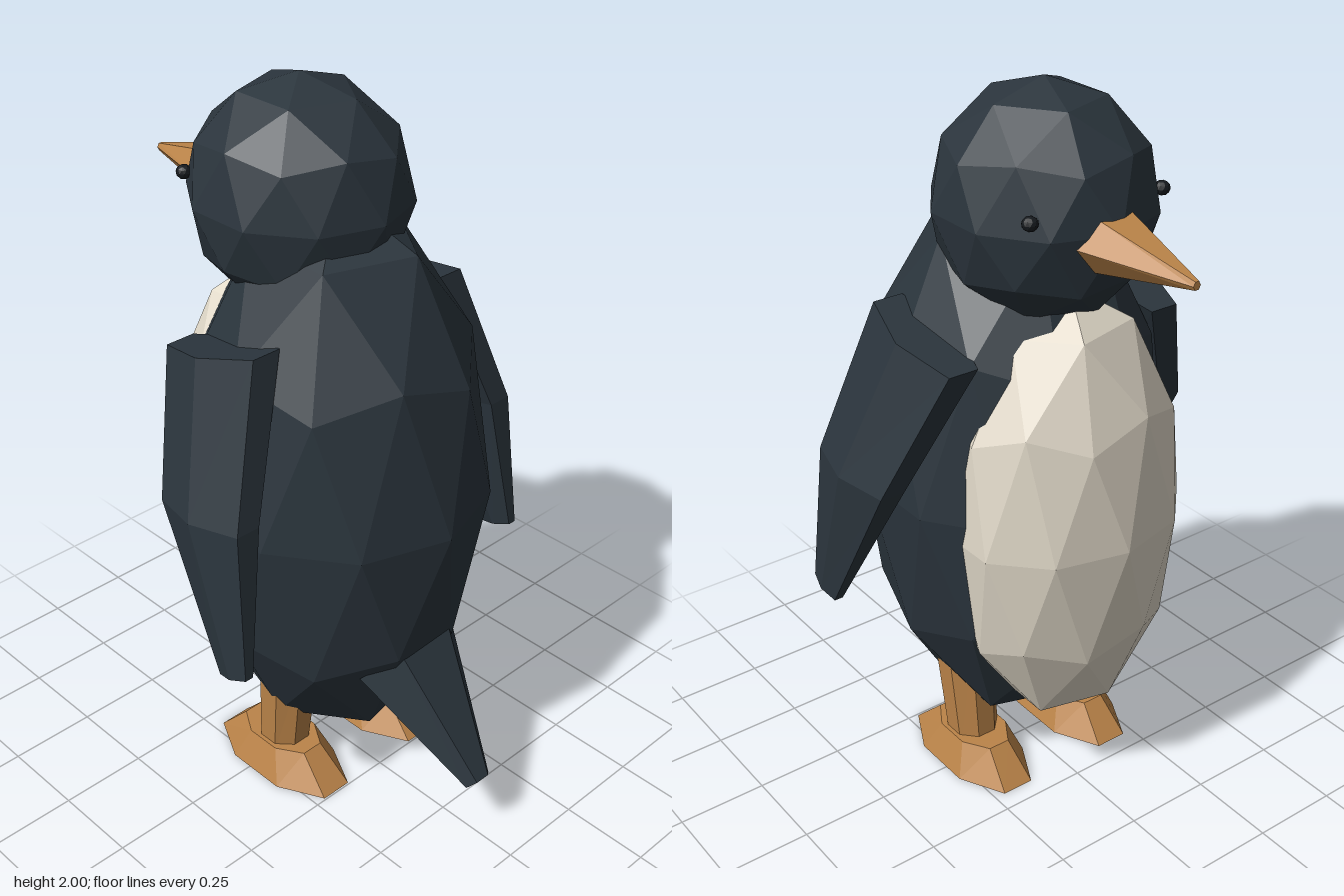
import * as THREE from 'three';

const DARK = new THREE.MeshStandardMaterial({ color: 0x2b353d, flatShading: true });
const CREAM = new THREE.MeshStandardMaterial({ color: 0xe0d8c8, flatShading: true });
const ORANGE = new THREE.MeshStandardMaterial({ color: 0xbb8449, flatShading: true });
const BLACK = new THREE.MeshStandardMaterial({ color: 0x15191d, flatShading: true });
DARK.name = 'dark plumage';
CREAM.name = 'cream belly';
ORANGE.name = 'orange beak and feet';
BLACK.name = 'black eyes';

// Low-poly ellipsoid with a vertex at each pole
function ellipsoid(name, material, center, radii) {
  const g = new THREE.IcosahedronGeometry(1, 1);
  g.rotateX(-Math.atan((1 + Math.sqrt(5)) / 2));
  g.rotateY(Math.PI / 2);
  g.scale(...radii);
  g.computeVertexNormals();
  const mesh = new THREE.Mesh(g, material);
  mesh.name = name;
  mesh.position.set(...center);
  return mesh;
}

// Faceted limb through elliptical rings: c = center, rx = half width in x,
// v = [y, z] of the other half axis
function loft(name, material, sides, rings, offset = 0) {
  const pts = rings.map(({ c, rx, v }) => Array.from({ length: sides }, (_, k) => {
    const a = ((k + offset) / sides) * Math.PI * 2;
    return [c[0] + Math.cos(a) * rx, c[1] + Math.sin(a) * v[0], c[2] + Math.sin(a) * v[1]];
  }));
  const pos = [];
  const tri = (a, b, c) => pos.push(...a, ...b, ...c);
  for (let i = 0; i < pts.length - 1; i++) {
    for (let k = 0; k < sides; k++) {
      const n = (k + 1) % sides;
      tri(pts[i][k], pts[i][n], pts[i + 1][n]);
      tri(pts[i][k], pts[i + 1][n], pts[i + 1][k]);
    }
  }
  const first = pts[0], last = pts[pts.length - 1];
  for (let k = 1; k < sides - 1; k++) {
    tri(first[0], first[k + 1], first[k]);
    tri(last[0], last[k], last[k + 1]);
  }
  const g = new THREE.BufferGeometry();
  g.setAttribute('position', new THREE.Float32BufferAttribute(pos, 3));
  g.computeVertexNormals();
  const mesh = new THREE.Mesh(g, material);
  mesh.name = name;
  return mesh;
}

export function createModel() {
  const model = new THREE.Group();
  model.name = 'penguin';

  // Body, belly and head
  model.add(
    ellipsoid('body', DARK, [0, 0.91, 0.06], [0.41, 0.82, 0.42]),
    ellipsoid('belly', CREAM, [0, 0.85, -0.18], [0.338, 0.646, 0.26]),
    ellipsoid('head', DARK, [0, 1.69, -0.075], [0.285, 0.31, 0.3]),
  );

  // Beak, pointing to -z
  model.add(loft('beak', ORANGE, 6, [
    { c: [0, 1.664, -0.33], rx: 0.105, v: [-0.08, 0] },
    { c: [0, 1.651, -0.632], rx: 0.011, v: [-0.012, 0] },
  ]));

  // Tail, sloping down and back
  model.add(loft('tail', DARK, 6, [
    { c: [0, 0.475, 0.34], rx: 0.18, v: [0.075, 0.08] },
    { c: [0, 0.185, 0.617], rx: 0.045, v: [0.018, 0.02] },
  ]));

  for (const [side, label] of [[1, 'left'], [-1, 'right']]) {
    // Eye
    model.add(ellipsoid(label + 'Eye', BLACK, [side * 0.2, 1.736, -0.283], [0.021, 0.019, 0.021]));

    // Flipper, bent outwards, bottom ring first
    model.add(loft(label + 'Flipper', DARK, 6, [
      { c: [side * 0.506, 0.602, 0.22], rx: 0.025, v: [-0.02, -0.058] },
      { c: [side * 0.462, 1.015, 0.085], rx: 0.07, v: [-0.015, -0.168] },
      { c: [side * 0.32, 1.392, -0.015], rx: 0.085, v: [-0.049, -0.19] },
    ]));

    // Leg and foot
    model.add(loft(label + 'Leg', ORANGE, 8, [
      { c: [side * 0.17, 0.06, 0.025], rx: 0.07, v: [0, -0.075] },
      { c: [side * 0.172, 0.4, 0.055], rx: 0.088, v: [0, -0.09] },
    ], 0.5));
    model.add(loft(label + 'Foot', ORANGE, 8, [
      { c: [side * 0.172, 0, 0.025], rx: 0.122, v: [0, -0.238] },
      { c: [side * 0.172, 0.095, 0.02], rx: 0.083, v: [0, -0.135] },
    ], 0.5));
  }
  return model;
}
